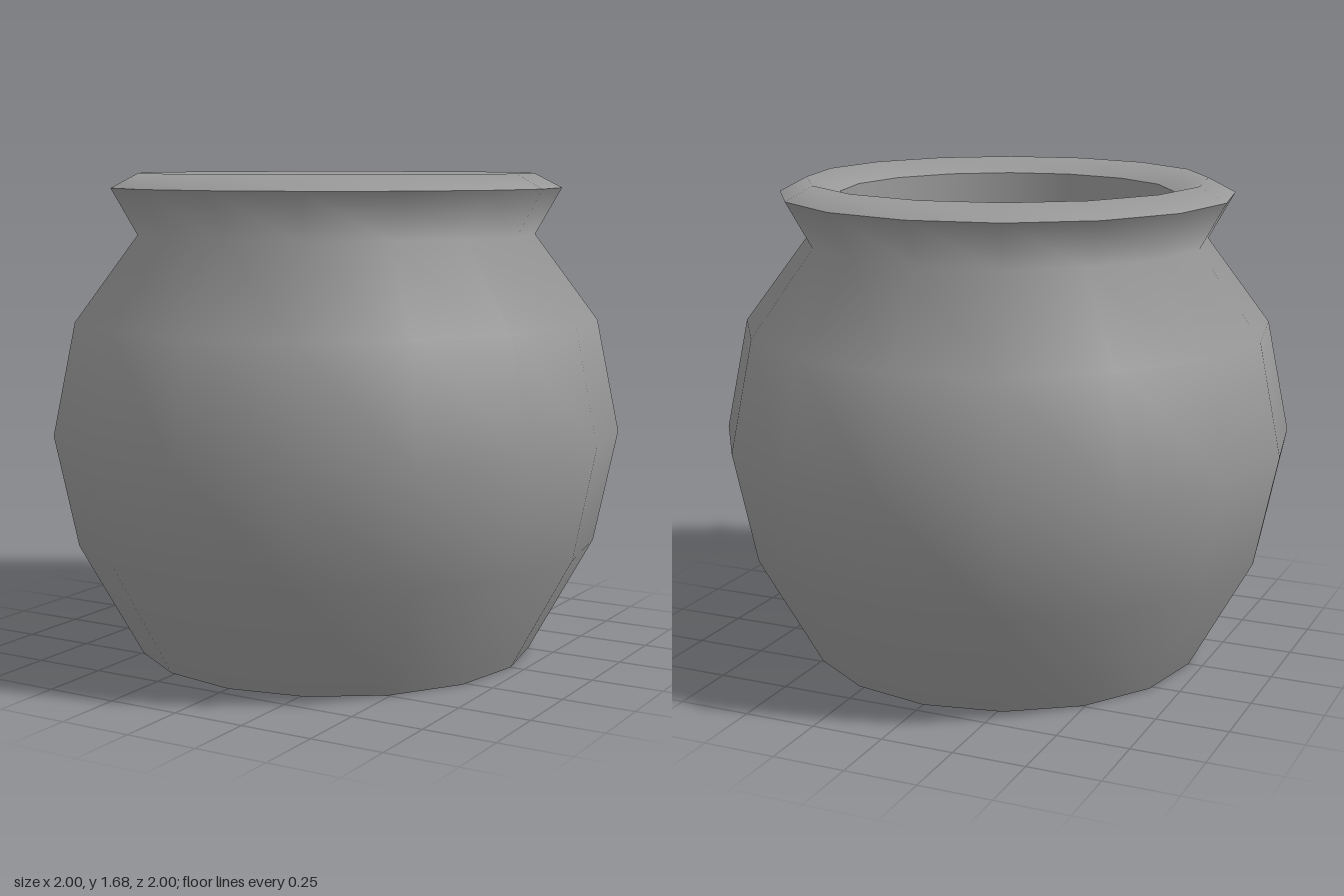
import * as THREE from 'three';

const SIDES = 16;

export function createModel() {
  const pot = new THREE.Group();
  pot.name = 'pot';
  const material = new THREE.MeshStandardMaterial({ color: 0x999999 });

  // Each part is a smooth lathe; creases fall where the parts meet.
  function turn(name, profile) {
    const points = profile.map(([r, y]) => new THREE.Vector2(r, y));
    const mesh = new THREE.Mesh(new THREE.LatheGeometry(points, SIDES), material);
    mesh.name = name;
    pot.add(mesh);
  }

  // Flat underside
  turn('base', [[0, 0], [0.7, 0]]);

  // Bulging body, pinched neck and flared lip
  turn('body', [
    [0.7, 0], [0.92, 0.4], [1, 0.79], [0.92, 1.18], [0.7, 1.475], [0.79, 1.635],
  ]);

  // Ridged top of the rim
  turn('rim', [[0.79, 1.635], [0.695, 1.685], [0.58, 1.635]]);

  // Straight inner wall, then a shallow dish down to the floor
  turn('innerWall', [[0.58, 1.635], [0.58, 0.3]]);
  turn('innerDish', [[0.58, 0.3], [0.4, 0.2]]);
  turn('innerFloor', [[0.4, 0.2], [0, 0.2]]);

  return pot;
}
